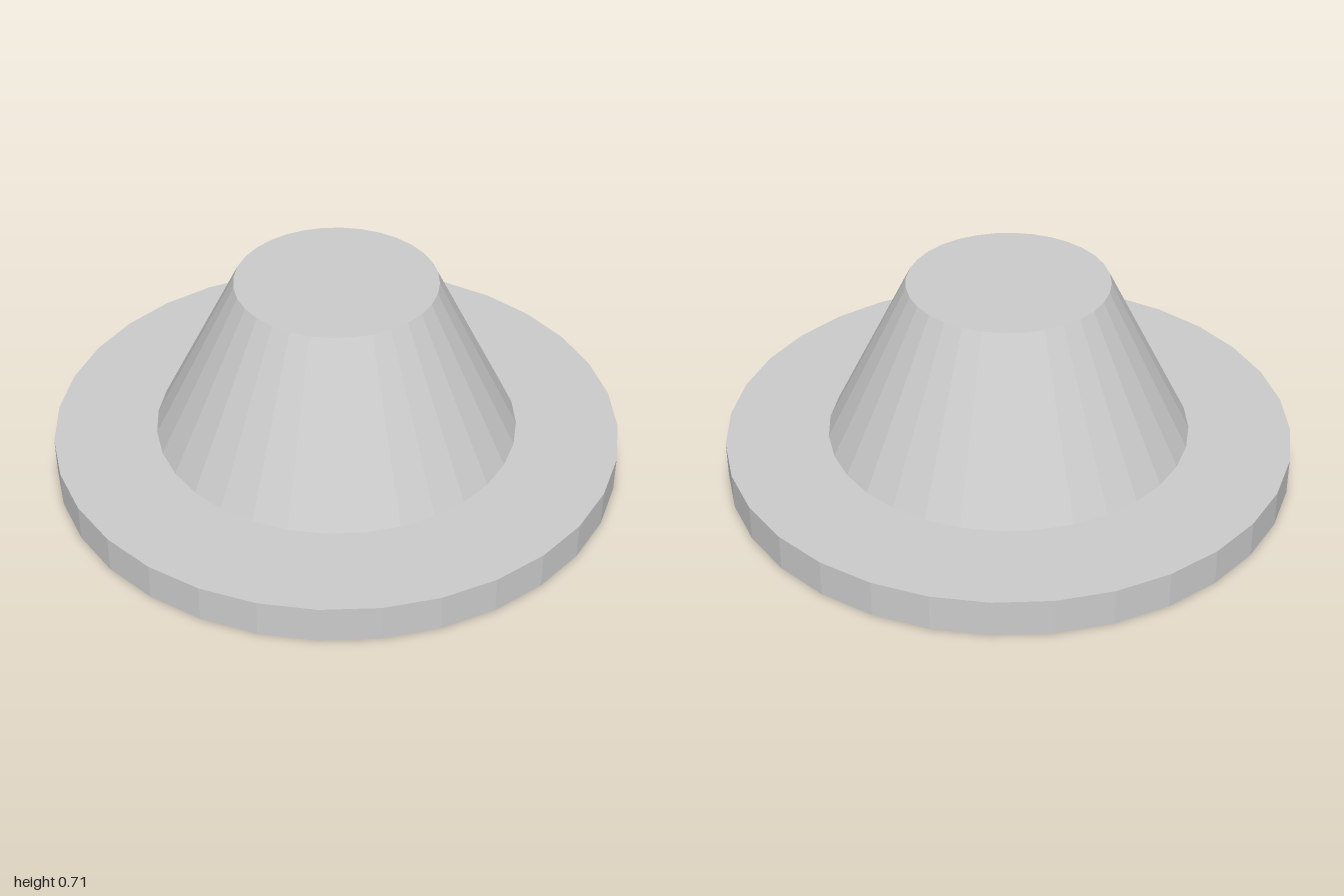
import * as THREE from 'three';

const SIDES = 32;
const THICKNESS = 0.13; // height of the flange and vertical thickness of the shell
const HEIGHT = 0.706;
const FLANGE_R = 1, BASE_R = 0.64, TOP_R = 0.35;

const material = new THREE.MeshStandardMaterial({ color: 0xcccccc, flatShading: true });

// Revolve a list of [radius, height] pairs into a faceted part
function turned(name, profile) {
  const points = profile.map(([r, y]) => new THREE.Vector2(r, y));
  const mesh = new THREE.Mesh(new THREE.LatheGeometry(points, SIDES), material);
  mesh.name = name;
  return mesh;
}

export function createModel() {
  const group = new THREE.Group();
  group.name = 'flangedCone';

  // Flat ring: underside, rim and upper face
  group.add(turned('flange', [
    [BASE_R, 0], [FLANGE_R, 0], [FLANGE_R, THICKNESS], [BASE_R, THICKNESS],
  ]));

  // Outside of the truncated cone with its flat cap
  group.add(turned('coneOutside', [
    [BASE_R, THICKNESS], [TOP_R, HEIGHT], [0, HEIGHT],
  ]));

  // Hollow inside, open at the bottom, with a flat ceiling
  group.add(turned('coneInside', [
    [0, HEIGHT - THICKNESS], [TOP_R, HEIGHT - THICKNESS], [BASE_R, 0],
  ]));

  return group;
}
